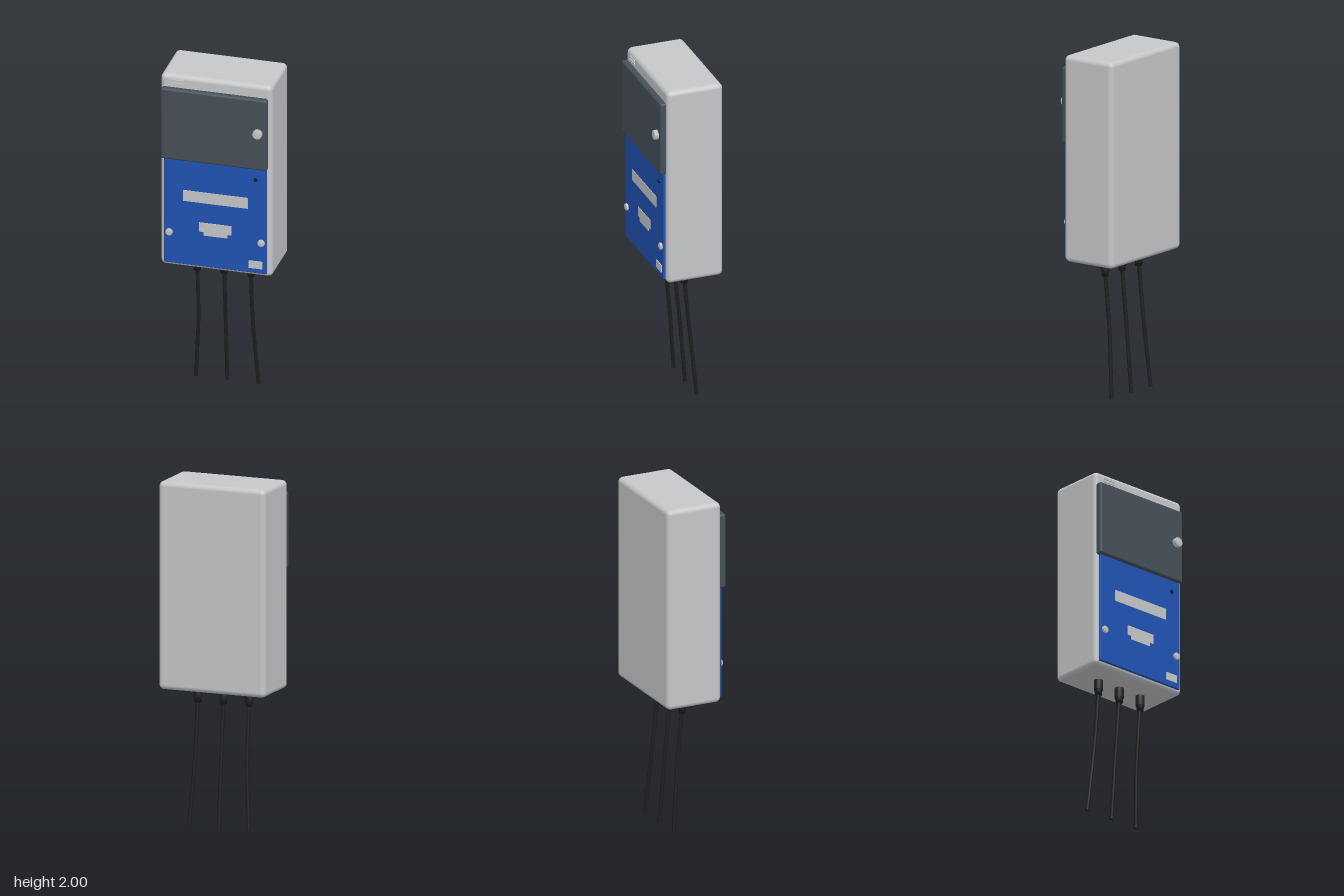
import * as THREE from 'three';
import { RoundedBoxGeometry } from 'three/addons/geometries/RoundedBoxGeometry.js';

const material = (name, color) => {
  const m = new THREE.MeshStandardMaterial({ color });
  m.name = name;
  return m;
};

export function createModel() {
  const model = new THREE.Group();
  model.name = 'wallControlBox';
  const grey = material('lightGrey', 0xc6c7c9);
  const slate = material('slateGrey', 0x465057);
  const blue = material('panelBlue', 0x2053b4);
  const black = material('black', 0x1d1e20);

  const add = (name, geometry, mat, x = 0, y = 0, z = 0) => {
    const mesh = new THREE.Mesh(geometry, mat);
    mesh.name = name;
    mesh.position.set(x, y, z);
    model.add(mesh);
    return mesh;
  };
  // Box given by its limits, with optionally rounded edges
  const box = (name, mat, [x0, x1], [y0, y1], [z0, z1], r = 0) => {
    const size = [x1 - x0, y1 - y0, z1 - z0];
    const geo = r ? new RoundedBoxGeometry(...size, 4, r) : new THREE.BoxGeometry(...size);
    return add(name, geo, mat, (x0 + x1) / 2, (y0 + y1) / 2, (z0 + z1) / 2);
  };
  // Round button facing the front, with a softened rim
  const button = (name, mat, x, y, r, z0, z1) => {
    const b = Math.min(0.004, r * 0.25), h = z1 - z0;
    const profile = [[0, 0], [r, 0], [r, h - b], [r - b, h], [0, h]];
    const geo = new THREE.LatheGeometry(profile.map(p => new THREE.Vector2(...p)), 24);
    geo.rotateX(Math.PI / 2);
    return add(name, geo, mat, x, y, z0);
  };

  // Housing, upper door and lower panel
  box('housing', grey, [-0.328, 0.328], [0.796, 2], [-0.2, 0.14], 0.028);
  box('door', slate, [-0.319, 0.306], [1.48, 1.925], [0.13, 0.174], 0.013);
  box('frontPanel', blue, [-0.303, 0.3], [0.82, 1.49], [0.13, 0.154], 0.004);

  // Raised bars above the door
  for (const y of [1.968, 1.95]) box('topBar', grey, [-0.263, -0.186], [y - 0.005, y + 0.005], [0.136, 0.146]);

  // Door knob, panel screws and indicator
  button('doorKnob', grey, 0.255, 1.715, 0.028, 0.17, 0.198);
  for (const x of [-0.272, 0.27]) button('panelScrew', grey, x, 1.016, 0.021, 0.15, 0.168);
  button('indicator', black, 0.236, 1.411, 0.012, 0.15, 0.163);

  // Flat plates on the panel
  box('namePlate', grey, [-0.192, 0.19], [1.222, 1.29], [0.151, 0.157]);
  const socket = new THREE.Shape([
    [-0.097, 1.098], [-0.097, 1.04], [-0.07, 1.04], [-0.07, 1.018],
    [0.07, 1.018], [0.07, 1.04], [0.095, 1.04], [0.095, 1.098],
  ].map(p => new THREE.Vector2(...p)));
  add('steppedPlate', new THREE.ExtrudeGeometry(socket, { depth: 0.006, bevelEnabled: false }), grey, 0, 0, 0.151);
  box('ratingPlate', grey, [0.196, 0.275], [0.851, 0.897], [0.151, 0.159]);

  // Cable glands and hanging cables
  const gland = [[0, 0.705], [0.02, 0.705], [0.022, 0.735], [0.022, 0.735], [0.026, 0.735],
    [0.026, 0.735], [0.026, 0.8], [0, 0.8]].map(p => new THREE.Vector2(...p));
  for (const side of [-1, 0, 1]) {
    const x = side * 0.158;
    add('cableGland', new THREE.LatheGeometry(gland, 16), black, x, 0, -0.026);
    const path = new THREE.CatmullRomCurve3([
      [x, 0.74, -0.026], [x, 0.55, -0.043], [side * 0.161, 0.38, -0.06],
      [side * 0.172, 0.19, -0.076], [side * 0.184, 0.001, -0.092],
    ].map(p => new THREE.Vector3(...p)));
    add('cable', new THREE.TubeGeometry(path, 24, 0.011, 12), black);
    // Closed lower end of the cable
    const end = add('cableEnd', new THREE.CircleGeometry(0.011, 12), black, side * 0.184, 0.001, -0.092);
    end.lookAt(end.position.clone().add(path.getTangent(1)));
  }
  return model;
}
